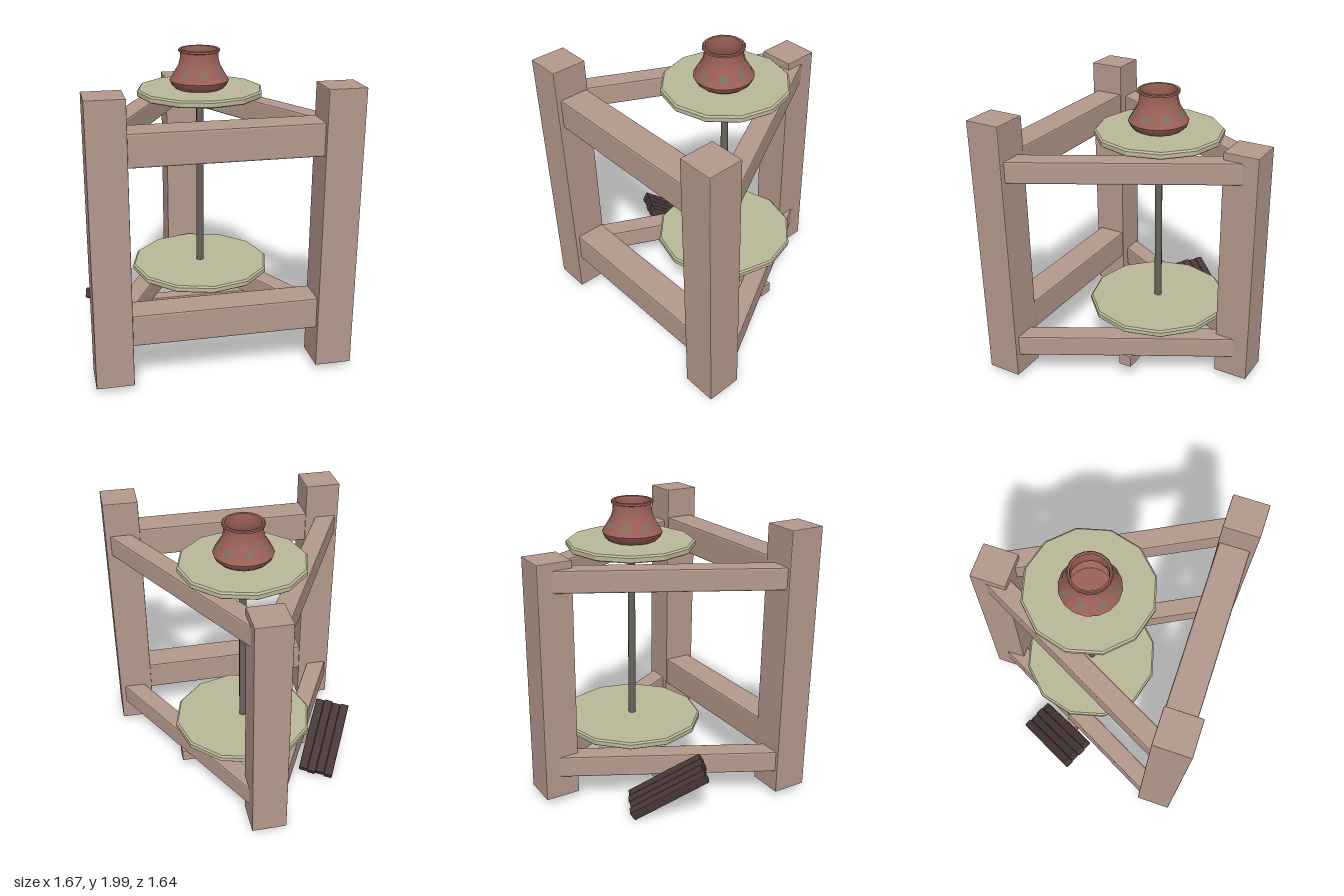
import * as THREE from 'three';
import { toCreasedNormals } from 'three/addons/utils/BufferGeometryUtils.js';
import { RoundedBoxGeometry } from 'three/addons/geometries/RoundedBoxGeometry.js';

const mat = (name, color) => {
  const m = new THREE.MeshStandardMaterial({ color });
  m.name = name;
  return m;
};

export function createModel() {
  const wood = mat('pale wood', 0xb4998c);
  const darkWood = mat('dark pedal wood', 0x493838);
  const stone = mat('wheel cream', 0xbab898);
  const metal = mat('shaft grey', 0x68645c);
  const clay = mat('clay red', 0x9c6259);
  const glaze = mat('glaze spots', 0x74736c);

  const model = new THREE.Group();
  model.name = 'pottersWheel';

  const add = (name, geometry, material, x, y, z, parent = model) => {
    const mesh = new THREE.Mesh(geometry, material);
    mesh.name = name;
    mesh.position.set(x, y, z);
    parent.add(mesh);
    return mesh;
  };
  const bevelBox = (w, h, d, r) =>
    toCreasedNormals(new RoundedBoxGeometry(w, h, d, 1, r), 0.3);
  const lathe = (points, sides, crease, start = 0) => toCreasedNormals(
    new THREE.LatheGeometry(points.map(([r, y]) => new THREE.Vector2(r, y)), sides, start), crease);

  // Three upright posts, the back one shorter
  const post = (name, x, z, top) =>
    add(name, bevelBox(0.24, top - 0.05, 0.24, 0.006), wood, x, (top + 0.05) / 2, z);
  post('frontRightPost', -0.716, 0.7, 1.89);
  post('frontLeftPost', 0.714, 0.7, 1.89);
  post('backPost', -0.022, -0.7, 1.7);

  // Front rails
  for (const [name, y] of [['upperFrontRail', 1.575], ['lowerFrontRail', 0.415]]) {
    add(name, bevelBox(1.3, 0.21, 0.205, 0.012), wood, 0, y, 0.688);
  }

  // Slanted side rails from the front posts to the back post
  const sideRail = (name, x0, x1, y) => {
    const z0 = 0.64, z1 = -0.7;
    const length = Math.hypot(x1 - x0, z1 - z0);
    const rail = add(name, bevelBox(0.135, 0.15, length, 0.012), wood,
      (x0 + x1) / 2, y, (z0 + z1) / 2);
    rail.rotation.y = Math.atan2(x0 - x1, z0 - z1);
  };
  for (const [level, y] of [['upper', 1.575], ['lower', 0.275]]) {
    sideRail(level + 'RightRail', -0.77, -0.075, y);
    sideRail(level + 'LeftRail', 0.755, 0.03, y);
  }

  // Cross bar that carries the shaft under the lower rails
  add('crossBar', bevelBox(0.97, 0.085, 0.09, 0.004), wood, -0.025, 0.1725, -0.065);

  // Shaft and the two twelve-sided discs
  add('shaft', new THREE.CylinderGeometry(0.025, 0.025, 1.5, 10), metal, 0.005, 0.95, -0.075);
  const disc = (name, r, y, x) => add(name, lathe([
    [0, 0], [r - 0.006, 0], [r, 0.006], [r, 0.034], [r - 0.012, 0.045], [0, 0.045],
  ], 12, 0.3), stone, x, y, -0.08);
  disc('flyWheel', 0.485, 0.43, 0.006);
  disc('wheelHead', 0.428, 1.69, 0.006);

  // Hollow pot
  const pot = new THREE.Group();
  pot.name = 'pot';
  pot.position.set(0, 1.735, -0.07);
  model.add(pot);
  add('potBody', lathe([
    [0, 0], [0.16, 0], [0.185, 0.022], [0.2, 0.055], [0.14, 0.155], [0.128, 0.2],
    [0.126, 0.242], [0.139, 0.247], [0.139, 0.26], [0.132, 0.265], [0.12, 0.262],
    [0.115, 0.2], [0.125, 0.15], [0.17, 0.06], [0.14, 0.02], [0, 0.02],
  ], 16, 0.8, -Math.PI / 16), clay, 0, 0, 0, pot);

  // Eight glaze spots lying on the sloping shoulder
  const lean = Math.atan2(0.06, 0.1);
  for (let i = 0; i < 8; i++) {
    const turn = new THREE.Group();
    turn.name = 'glazeSpot' + (i + 1);
    turn.rotation.y = (i * Math.PI) / 4;
    pot.add(turn);
    const spot = new THREE.CircleGeometry(0.024, 10);
    spot.scale(1.15, 0.85, 1).rotateZ(0.45).rotateX(-lean);
    add('spot', spot, glaze, 0, 0.11, 0.167 * Math.cos(Math.PI / 16) + 0.003, turn);
  }

  // Tilted foot pedal made of four planks
  const pedal = new THREE.Group();
  pedal.name = 'pedal';
  const zAxis = new THREE.Vector3(-0.243, 0.29, 0.42).normalize();
  const yAxis = new THREE.Vector3().crossVectors(zAxis, new THREE.Vector3(0.22, 0.03, 0.11)).normalize();
  const xAxis = new THREE.Vector3().crossVectors(yAxis, zAxis);
  pedal.quaternion.setFromRotationMatrix(new THREE.Matrix4().makeBasis(xAxis, yAxis, zAxis));
  pedal.position.set(-0.6, 0.195, -0.15);
  model.add(pedal);
  [0.565, 0.55, 0.568, 0.555].forEach((length, i) => {
    add('plank' + (i + 1), bevelBox(0.0625, 0.07, length, 0.008), darkWood,
      (i - 1.5) * 0.062, 0, 0, pedal);
  });

  return model;
}
